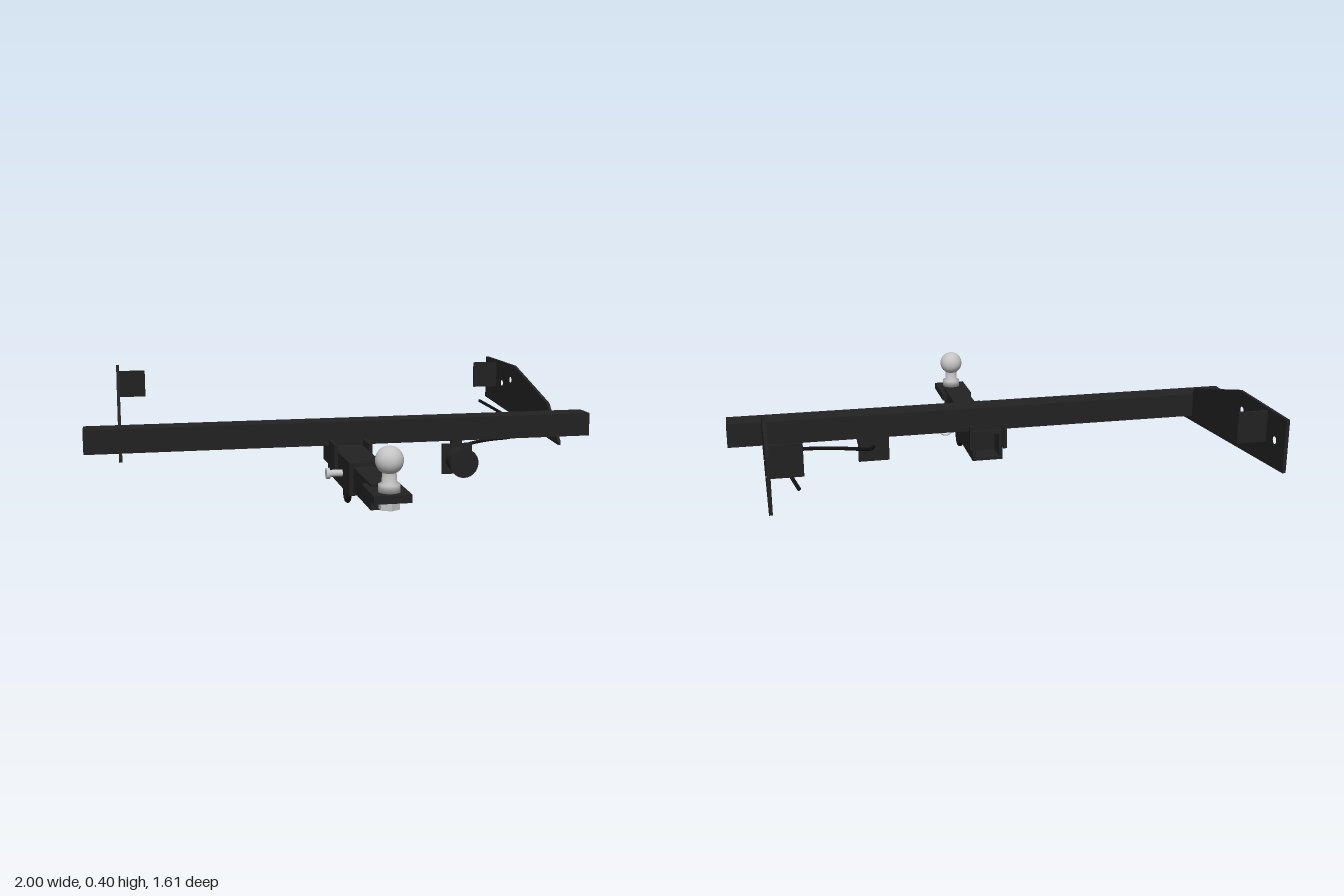
import * as THREE from 'three';

const steel = new THREE.MeshStandardMaterial({ color: 0x222222 });
steel.name = 'black steel';
const rubber = new THREE.MeshStandardMaterial({ color: 0x121212 });
rubber.name = 'black rubber';
const chrome = new THREE.MeshStandardMaterial({ color: 0xc4c4c4 });
chrome.name = 'chrome';

export function createModel() {
  const model = new THREE.Group();
  model.name = 'towHitch';

  const add = (name, geometry, material, parent = model) => {
    const mesh = new THREE.Mesh(geometry, material);
    mesh.name = name;
    parent.add(mesh);
    return mesh;
  };
  // box given by its extents on each axis
  const box = (name, [x0, x1], [y0, y1], [z0, z1], material = steel) => {
    const mesh = add(name, new THREE.BoxGeometry(x1 - x0, y1 - y0, z1 - z0), material);
    mesh.position.set((x0 + x1) / 2, (y0 + y1) / 2, (z0 + z1) / 2);
    return mesh;
  };
  // plate with a [z, y] outline and round holes, centred on x
  const sidePlate = (name, x, thickness, outline, holes = []) => {
    const shape = new THREE.Shape(outline.map(([z, y]) => new THREE.Vector2(-z, y)));
    for (const [z, y, r] of holes) {
      shape.holes.push(new THREE.Path().absarc(-z, y, r, 0, Math.PI * 2, true));
    }
    const geometry = new THREE.ExtrudeGeometry(shape, { depth: thickness, bevelEnabled: false, curveSegments: 10 });
    geometry.rotateY(Math.PI / 2).translate(x - thickness / 2, 0, 0);
    return add(name, geometry, steel);
  };
  // cylinder lying along x or z
  const rod = (name, axis, r, from, to, a, b, material, sides = 24) => {
    const geometry = new THREE.CylinderGeometry(r, r, to - from, sides);
    const mid = (from + to) / 2;
    if (axis === 'x') geometry.rotateZ(Math.PI / 2).translate(mid, a, b);
    else geometry.rotateX(Math.PI / 2).translate(a, b, mid);
    return add(name, geometry, material);
  };

  // cross tube
  box('crossTube', [-1, 1], [0.175, 0.267], [-0.015, 0.08]);

  for (const s of [-1, 1]) {
    // frame mounting plates with bolt holes and end tabs
    sidePlate('framePlate', s * 0.865, 0.012,
      [[0.1, 0.145], [0.1, 0.158], [-0.03, 0.295], [-0.43, 0.402], [-0.805, 0.402], [-0.805, 0.211]],
      [[-0.465, 0.335, 0.013], [-0.575, 0.306, 0.013], [-0.73, 0.306, 0.013]]);
    box('frameTab', s > 0 ? [0.75, 0.865] : [-0.865, -0.75], [0.28, 0.393], [-0.666, -0.654]);

    // gussets joining the receiver to the cross tube
    sidePlate('gusset', s * 0.067, 0.014,
      [[0.19, 0.1], [0.19, 0.197], [-0.035, 0.197], [-0.035, 0.1]]);

    // safety chain loops
    const loop = add('chainLoop', new THREE.TorusGeometry(0.036, 0.009, 10, 28), rubber);
    loop.rotation.y = Math.PI / 2;
    loop.position.set(s * 0.05, 0.048, 0.31);
  }

  // hollow receiver tube
  const tube = new THREE.Shape();
  tube.moveTo(-0.06, 0.05).lineTo(0.06, 0.05).lineTo(0.06, 0.17).lineTo(-0.06, 0.17).closePath();
  const bore = new THREE.Path();
  bore.moveTo(-0.046, 0.064).lineTo(-0.046, 0.156).lineTo(0.046, 0.156).lineTo(0.046, 0.064).closePath();
  tube.holes.push(bore);
  const tubeGeometry = new THREE.ExtrudeGeometry(tube, { depth: 0.417, bevelEnabled: false });
  add('receiverTube', tubeGeometry.translate(0, 0, -0.017), steel);

  // drawbar and ball platform
  box('drawbar', [-0.045, 0.045], [0.065, 0.155], [0.06, 0.675]);
  box('ballPlatform', [-0.065, 0.065], [0.117, 0.145], [0.612, 0.805]);

  // tow ball, turned as one piece
  const ballProfile = [[0, 0.145], [0.037, 0.145], [0.037, 0.172], [0.026, 0.178], [0.024, 0.21]];
  for (let i = 0; i <= 16; i++) {
    const a = -1.04 + (i / 16) * (Math.PI / 2 + 1.04);
    ballProfile.push([Math.max(0, 0.048 * Math.cos(a)), 0.252 + 0.048 * Math.sin(a)]);
  }
  const ball = add('towBall',
    new THREE.LatheGeometry(ballProfile.map(([r, y]) => new THREE.Vector2(r, y)), 32), chrome);
  ball.position.z = 0.75;
  const nut = add('ballNut', new THREE.CylinderGeometry(0.037, 0.037, 0.03, 6).toNonIndexed(), chrome);
  nut.geometry.computeVertexNormals();
  nut.position.set(0, 0.102, 0.75);
  const stud = add('ballStud', new THREE.CylinderGeometry(0.02, 0.02, 0.04, 20), chrome);
  stud.position.set(0, 0.104, 0.75);

  // hitch pin with head and retaining clip
  rod('pinShaft', 'x', 0.013, -0.11, 0.1, 0.107, 0.267, chrome);
  rod('pinTip', 'x', 0.006, 0.1, 0.142, 0.107, 0.267, chrome);
  rod('pinHead', 'x', 0.021, -0.121, -0.108, 0.107, 0.267, chrome);
  const clip = add('pinClip', new THREE.TorusGeometry(0.027, 0.004, 8, 28), chrome);
  clip.position.set(0.115, 0.098, 0.267);

  // wiring socket on its bracket
  box('socketBracket', [0.378, 0.5], [0.045, 0.166], [0.085, 0.096]);
  box('socketHanger', [0.42, 0.46], [0.155, 0.18], [0.06, 0.09]);
  rod('socketBody', 'z', 0.048, 0.096, 0.182, 0.439, 0.105, steel, 28);
  rod('socketLid', 'z', 0.057, 0.18, 0.191, 0.439, 0.105, steel, 28);

  // wiring cable
  const path = new THREE.CatmullRomCurve3([
    [0.44, 0.105, 0.085], [0.46, 0.115, 0.03], [0.51, 0.135, -0.018], [0.6, 0.15, -0.032],
    [0.71, 0.158, -0.038], [0.775, 0.168, -0.08], [0.8, 0.18, -0.2], [0.79, 0.2, -0.4], [0.768, 0.22, -0.615],
  ].map((p) => new THREE.Vector3(...p)));
  add('wiringCable', new THREE.TubeGeometry(path, 70, 0.007, 8), rubber);
  // cable end
  const end = add('cableEnd', new THREE.SphereGeometry(0.007, 8, 6), rubber);
  end.position.set(0.768, 0.22, -0.615);

  return model;
}
